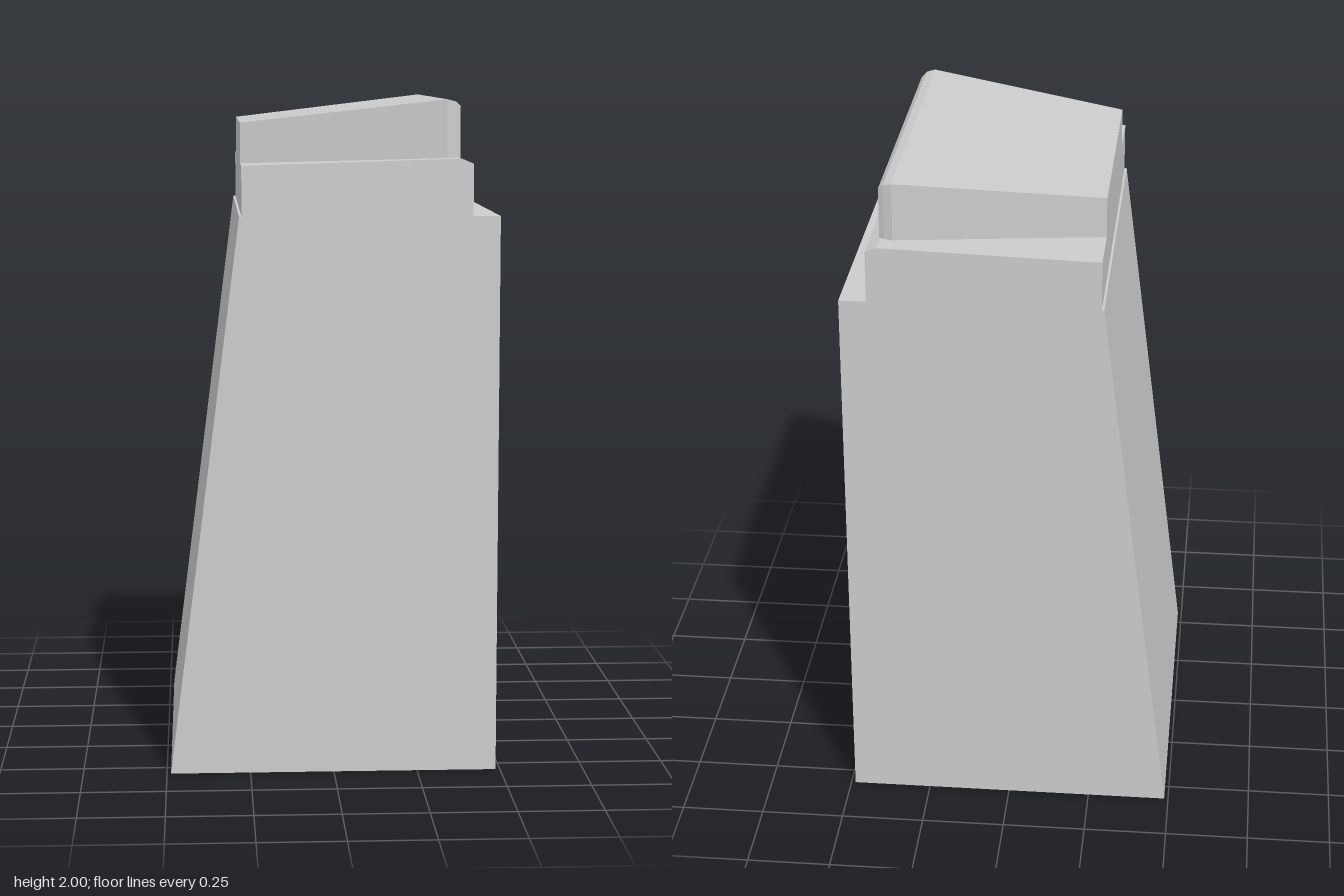
import * as THREE from 'three';

const material = new THREE.MeshStandardMaterial({
  color: 0xcccccc,
  flatShading: true,
  side: THREE.DoubleSide,
});

// Lofts rectangular sections along x, leaving the underside open.
// Each section is [x, bottomY, topY, halfDepth].
function loftAlongX(name, sections) {
  const rings = sections.map(([x, y0, y1, d]) =>
    [[y0, -d], [y1, -d], [y1, d], [y0, d]].map(([y, z]) => new THREE.Vector3(x, y, z)));
  const positions = [];
  const triangle = (a, b, c) => {
    if (new THREE.Triangle(a, b, c).getArea() < 1e-8) return;
    for (const p of [a, b, c]) positions.push(p.x, p.y, p.z);
  };
  const quad = (a, b, c, d) => {
    triangle(a, b, c);
    triangle(a, c, d);
  };
  // Back wall, top and front wall of each span
  for (let i = 0; i < rings.length - 1; i++) {
    for (let k = 0; k < 3; k++) {
      quad(rings[i][k], rings[i][k + 1], rings[i + 1][k + 1], rings[i + 1][k]);
    }
  }
  // End walls
  const first = rings[0];
  const last = rings[rings.length - 1];
  quad(first[0], first[3], first[2], first[1]);
  quad(last[0], last[1], last[2], last[3]);

  const geometry = new THREE.BufferGeometry();
  geometry.setAttribute('position', new THREE.Float32BufferAttribute(positions, 3));
  geometry.computeVertexNormals();
  const mesh = new THREE.Mesh(geometry, material);
  mesh.name = name;
  return mesh;
}

export function createModel() {
  const group = new THREE.Group();
  group.name = 'steppedTower';

  // Hollow body with one sloping side
  group.add(loftAlongX('body', [
    [-0.488, 0, 0, 0.566],
    [-0.277, 0, 1.663, 0.566],
    [0.487, 0, 1.663, 0.566],
  ]));

  // Full-depth step with a bevelled outer edge
  group.add(loftAlongX('lowerStep', [
    [-0.27, 1.663, 1.81, 0.566],
    [0.372, 1.663, 1.83, 0.566],
    [0.407, 1.663, 1.815, 0.566],
  ]));

  // Tapered, tilted cap with a bevelled outer edge
  group.add(loftAlongX('upperCap', [
    [-0.27, 1.81, 1.93, 0.376],
    [0.335, 1.829, 2.0, 0.502],
    [0.36, 1.829, 1.994, 0.496],
    [0.375, 1.829, 1.98, 0.488],
  ]));

  return group;
}
